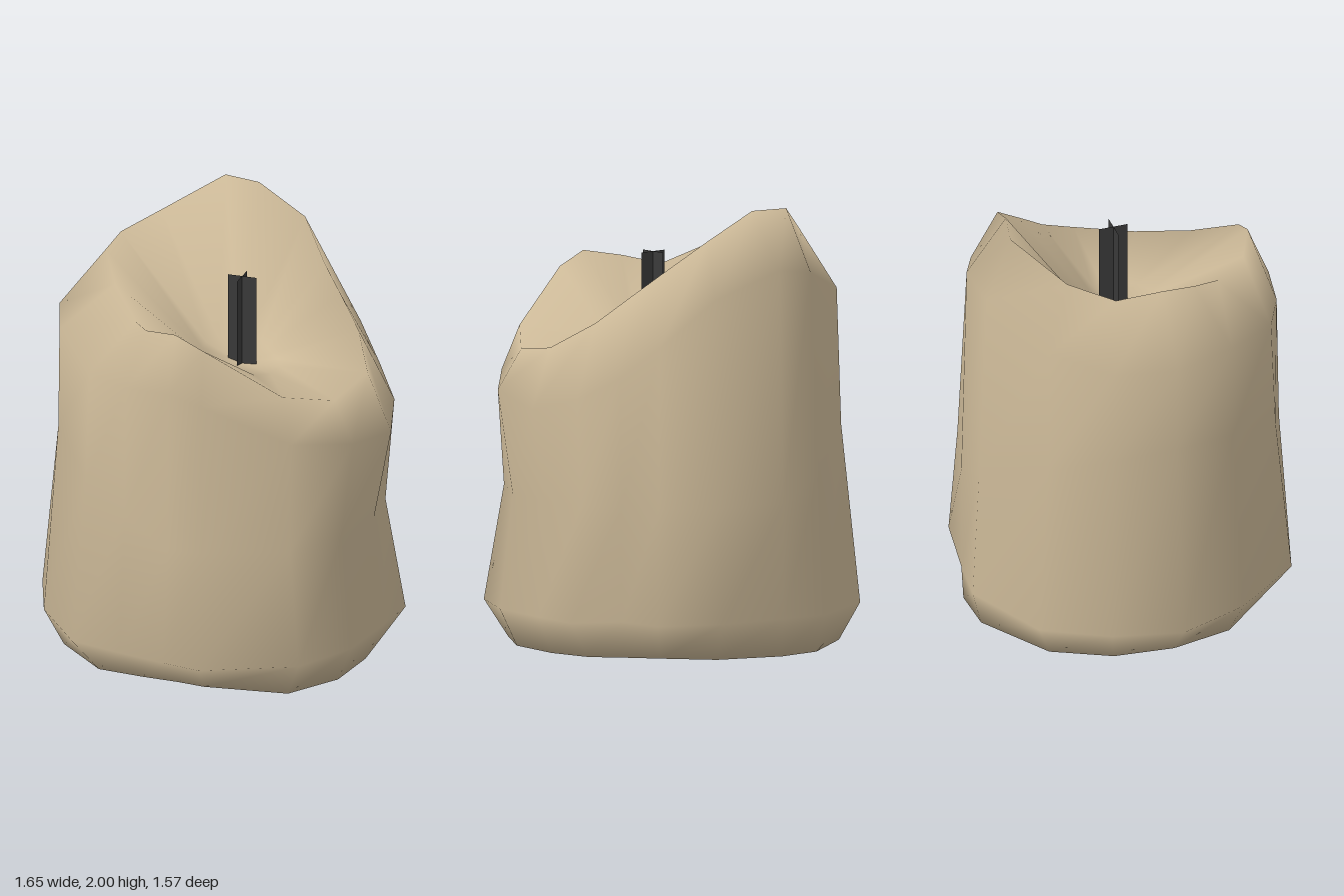
import * as THREE from 'three';

const wax = new THREE.MeshStandardMaterial({ color: 0xcbb897 });
wax.name = 'wax';
const char = new THREE.MeshStandardMaterial({ color: 0x3a3a3a, side: THREE.DoubleSide });
char.name = 'charredWick';

// Columns run round the candle from +x towards +z; one value per column.
const angles = [0, 22.5, 45, 77, 90, 108, 127, 156, 180, 202.5, 225, 254, 270, 294, 315, 329, 343];
const footR = [.70, .72, .72, .57, .54, .56, .64, .69, .69, .72, .76, .78, .76, .71, .64, .64, .69];
const flareR = [.78, .80, .83, .80, .745, .73, .786, .78, .83, .82, .855, .825, .77, .79, .825, .70, .84];
const waistR = [.74, .74, .74, .69, .68, .69, .71, .715, .735, .75, .77, .79, .77, .75, .75, .71, .75];
const shoulderR = [.82, .81, .75, .70, .68, .68, .69, .71, .75, .75, .75, .75, .745, .69, .71, .74, .79];
const shoulderY = [1.12, 1.17, 1.22, 1.41, 1.45, 1.44, 1.45, 1.53, 1.53, 1.53, 1.6, 1.72, 1.75, 1.63, 1.42, 1.28, 1.18];
const rimR = [.71, .70, .67, .60, .58, .53, .44, .46, .53, .58, .58, .62, .56, .57, .53, .56, .63];
const rimY = [1.39, 1.35, 1.42, 1.64, 1.70, 1.67, 1.64, 1.74, 1.82, 1.82, 1.87, 2.0, 2.0, 1.88, 1.73, 1.63, 1.51];
const wick = { x: 0.11, z: -0.015, bottom: 1.33, top: 1.77, width: 0.135 };

function meltedBody() {
  const n = angles.length, pos = [], index = [];
  const rad = angles.map(a => THREE.MathUtils.degToRad(a));
  const ring = (r, y, cx = 0, cz = 0) => rad.forEach((a, i) =>
    pos.push(cx + r(i) * Math.cos(a), y(i), cz + r(i) * Math.sin(a)));

  ring(i => footR[i], () => 0.01);
  ring(i => flareR[i], () => 0.18);
  ring(i => waistR[i], i => 0.7 + 0.4 * Math.max(0, -Math.cos(rad[i]))); // waist sits higher on the right side
  ring(i => shoulderR[i], i => shoulderY[i]);
  ring(i => rimR[i], i => rimY[i]);
  ring(i => rimR[i] * 0.3, i => 1.36 + 0.1 * (rimY[i] - 1.4), 0.08, -0.01); // pool floor
  const rings = 6;

  for (let k = 0; k < rings - 1; k++) {
    for (let i = 0; i < n; i++) {
      const j = (i + 1) % n;
      const a = k * n + i, b = k * n + j, c = a + n, d = b + n;
      index.push(a, c, b, b, c, d);
    }
  }
  // Close the underside and the pool
  const base = rings * n, pool = base + 1, last = (rings - 1) * n;
  pos.push(0, 0, 0, wick.x, 1.35, wick.z);
  for (let i = 0; i < n; i++) {
    const j = (i + 1) % n;
    index.push(base, i, j, pool, last + j, last + i);
  }
  const g = new THREE.BufferGeometry();
  g.setAttribute('position', new THREE.Float32BufferAttribute(pos, 3));
  g.setIndex(index);
  g.computeVertexNormals();
  return g;
}

export function createModel() {
  const model = new THREE.Group();
  model.name = 'meltedCandle';

  const body = new THREE.Mesh(meltedBody(), wax);
  body.name = 'waxBody';
  model.add(body);

  // Wick: two crossed strips
  const wickGroup = new THREE.Group();
  wickGroup.name = 'wick';
  const strip = new THREE.PlaneGeometry(wick.width, wick.top - wick.bottom);
  for (const turn of [0, Math.PI / 2]) {
    const m = new THREE.Mesh(strip, char);
    m.name = 'wickStrip';
    m.rotation.y = turn;
    wickGroup.add(m);
  }
  wickGroup.position.set(wick.x, (wick.top + wick.bottom) / 2, wick.z);
  model.add(wickGroup);
  return model;
}
